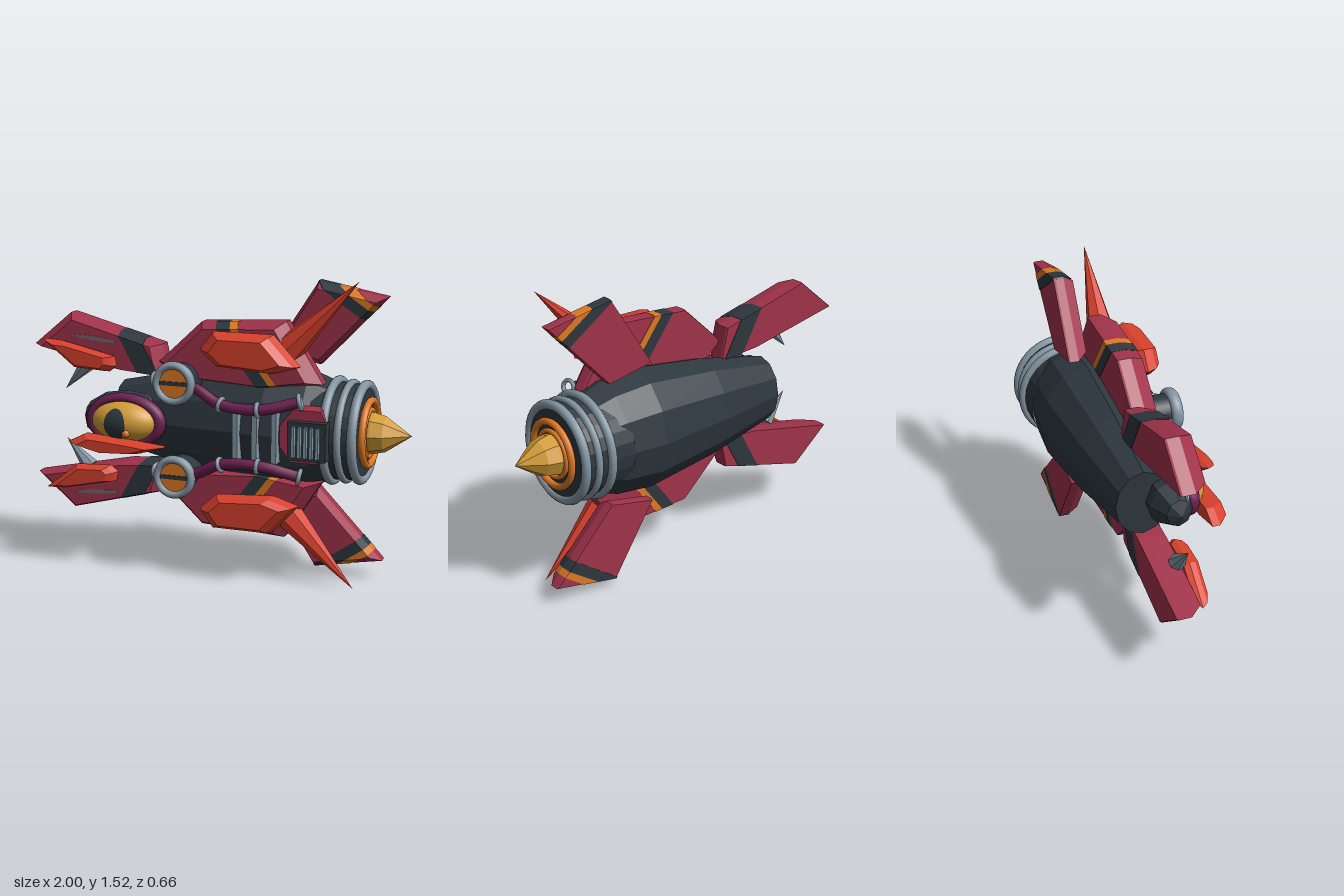
import * as THREE from 'three';
import { ConvexGeometry } from 'three/addons/geometries/ConvexGeometry.js';

const mat = (name, color) => {
  const m = new THREE.MeshStandardMaterial({ color });
  m.name = name;
  return m;
};
const M = {
  maroon: mat('maroon', 0xa0324a), red: mat('red', 0xd8402c), dark: mat('charcoal', 0x2d373e),
  steel: mat('steel', 0x8395a2), yellow: mat('yellow', 0xd39c37), orange: mat('orange', 0xdc7822),
  purple: mat('purple', 0x6b1f50), scratch: mat('scratch', 0x77686c),
};
const CY = 0.765, CZ = -0.06; // hull axis

const flat = (g) => {
  const f = g.index ? g.toNonIndexed() : g;
  f.computeVertexNormals();
  return f;
};
const scaled = (poly, k) => {
  const c = poly.reduce((a, p) => [a[0] + p[0] / poly.length, a[1] + p[1] / poly.length], [0, 0]);
  return poly.map(([x, y]) => [c[0] + (x - c[0]) * k, c[1] + (y - c[1]) * k]);
};
// Keeps the part of a convex polygon where f(p) >= 0
const clip = (poly, f) => {
  const out = [];
  poly.forEach((p, i) => {
    const q = poly[(i + 1) % poly.length], a = f(p), b = f(q);
    if (a >= 0) out.push(p);
    if (a * b < 0) out.push([p[0] + (q[0] - p[0]) * a / (a - b), p[1] + (q[1] - p[1]) * a / (a - b)]);
  });
  return out;
};
// Layers are [polygon, z]; s = -1 reflects the part below the hull axis
const hull = (layers, s) => new ConvexGeometry(layers.flatMap(([poly, z]) =>
  poly.map(([x, y]) => new THREE.Vector3(x, CY + s * (y - CY), z))));

export function createModel() {
  const root = new THREE.Group();
  root.name = 'rocketCraft';
  const add = (name, geo, material, x = 0, y = 0, z = 0) => {
    const m = new THREE.Mesh(geo, material);
    m.name = name;
    m.position.set(x, y, z);
    root.add(m);
    return m;
  };
  const box = (name, w, h, d, material, x, y, z) => add(name, new THREE.BoxGeometry(w, h, d), material, x, y, z);
  // Turned part along x: profile of [radius, x]
  const turned = (name, pts, sides, material, zScale = 1) => {
    const g = new THREE.LatheGeometry(pts.map(([r, x]) => new THREE.Vector2(r, x)), sides);
    g.rotateZ(-Math.PI / 2).scale(1, 1, zScale);
    return add(name, flat(g), material, 0, CY, CZ);
  };
  const hoop = (name, R, r, material, x) =>
    add(name, new THREE.TorusGeometry(R, r, 10, 40).rotateY(Math.PI / 2), material, x, CY, CZ);
  const cone = (name, from, to, r, sides, material) => {
    const a = new THREE.Vector3(...from), b = new THREE.Vector3(...to), d = b.clone().sub(a);
    const m = add(name, flat(new THREE.ConeGeometry(r, d.length(), sides)), material);
    m.position.copy(a).addScaledVector(d, 0.5);
    m.quaternion.setFromUnitVectors(new THREE.Vector3(0, 1, 0), d.normalize());
  };

  // Hull and nozzle
  turned('hull', [[0, -0.52], [0.175, -0.52], [0.26, -0.12], [0.315, 0.3], [0.295, 0.5], [0.25, 0.62], [0, 0.62]], 12, M.dark, 0.8);
  turned('nozzle', [[0.24, 0.48], [0.245, 0.62], [0.235, 0.77], [0, 0.78]], 24, M.dark);
  hoop('nozzleRing', 0.25, 0.022, M.steel, 0.62);
  hoop('nozzleRing', 0.24, 0.019, M.steel, 0.69);
  hoop('nozzleRing', 0.235, 0.024, M.steel, 0.76);
  hoop('glowRing', 0.16, 0.018, M.orange, 0.79);
  hoop('innerGlowRing', 0.115, 0.012, M.orange, 0.79);
  turned('tailCone', [[0.105, 0.77], [0.105, 0.81], [0.09, 0.87], [0, 1]], 8, M.yellow);

  // Eye
  const ex = -0.42, ey = 0.775, ez = 0.16, er = [0.18, 0.105, 0.11];
  const socket = new THREE.SphereGeometry(1, 8, 6).rotateZ(Math.PI / 2).scale(0.25, 0.15, 0.13);
  add('eyeSocket', flat(socket), M.dark, -0.44, CY, 0.07);
  add('eyeRim', new THREE.TorusGeometry(0.18, 0.036, 10, 40).scale(1, 0.66, 1.1), M.purple, ex, ey, 0.155);
  add('eyeball', new THREE.SphereGeometry(1, 32, 20).scale(...er), M.yellow, ex, ey, ez);
  const pupil = new THREE.RingGeometry(0, 1, 28, 5).scale(0.058, 0.08, 1).translate(-0.015, -0.002, 0);
  const pp = pupil.attributes.position;
  for (let i = 0; i < pp.count; i++) {
    const u = pp.getX(i) / er[0], v = pp.getY(i) / er[1];
    pp.setZ(i, er[2] * Math.sqrt(Math.max(0, 1 - u * u - v * v)) + 0.005);
  }
  pupil.computeVertexNormals();
  add('pupil', pupil, M.dark, ex, ey, ez);
  add('eyeGlint', new THREE.SphereGeometry(0.022, 14, 10), M.orange, -0.38, 0.732, 0.252);
  const brow = [[-0.69, 0.67], [-0.6, 0.715], [-0.32, 0.695], [-0.17, 0.68], [-0.3, 0.64], [-0.52, 0.63]];
  add('brow', hull([[brow, 0.23], [brow, 0.27], [scaled(brow, 0.72), 0.33]], 1), M.red);

  // Vent and ribs on the front of the hull
  const patch = [[0.4, 0.72], [0.4, 0.83], [0.47, 0.92], [0.62, 0.92], [0.64, 0.88], [0.64, 0.67], [0.6, 0.64], [0.46, 0.64]];
  add('ventPlate', hull([[patch, 0.12], [scaled(patch, 0.93), 0.2]], 1), M.maroon);
  box('vent', 0.19, 0.19, 0.08, M.dark, 0.555, CY, 0.2);
  for (let i = 0; i < 5; i++) box('ventSlat', 0.014, 0.15, 0.04, M.steel, 0.495 + i * 0.03, CY, 0.248);
  for (const x of [0.185, 0.285, 0.385]) box('rib', 0.026, 0.26, 0.07, M.steel, x, CY, 0.185);

  // Outlines of the upper fins and armour plates
  const frontFin = [[-1, 1.11], [-0.79, 1.285], [-0.28, 1.15], [-0.24, 0.98], [-0.48, 1.0]];
  const midFin = [[-0.28, 1.07], [-0.05, 1.285], [0.39, 1.31], [0.58, 1.01], [0.3, 0.97], [-0.2, 1.0]];
  const rearFin = [[0.27, 1.13], [0.505, 1.495], [0.855, 1.43], [0.52, 1.08]];
  const smallPlate = [[-0.9, 1.16], [-0.8, 1.155], [-0.5, 1.09], [-0.49, 1.04], [-0.53, 1.01], [-0.72, 1.02]];
  const midPlate = [[-0.02, 1.17], [0.05, 1.26], [0.36, 1.26], [0.5, 1.11], [0.37, 1.07], [0.07, 1.09]];

  for (const s of [1, -1]) {
    const Y = (y) => CY + s * (y - CY);
    const fin = (name, poly, z0, z1, bands) => {
      const zm = z0 + (z1 - z0) * 0.5;
      const layers = [[scaled(poly, 0.985), z0], [poly, z0 + 0.01], [poly, zm], [scaled(poly, 0.84), z1]];
      add(name, hull(layers, s), M.maroon);
      // Painted bands wrap round the fin: point, direction, offset range, material
      for (const [p, d, a, b, material] of bands) {
        const l = Math.hypot(...d);
        const off = (q) => ((q[0] - p[0]) * -d[1] + (q[1] - p[1]) * d[0]) / l;
        const cut = layers.map(([q, z], i) => [
          clip(clip(scaled(q, 1.008), (v) => off(v) - a), (v) => b - off(v)),
          z + [-0.003, -0.002, 0.002, 0.003][i]]);
        add(name + 'Stripe', hull(cut, s), material);
      }
    };
    fin('frontFin', frontFin, -0.07, 0.075, [[[-0.42, 1.18], [0.1, -0.18], -0.06, 0.04, M.dark]]);
    fin('midFin', midFin, -0.02, 0.12, [
      [[0.12, 1.27], [0.15, -0.2], -0.06, 0, M.dark], [[0.12, 1.27], [0.15, -0.2], 0, 0.035, M.orange]]);
    fin('rearFin', rearFin, -0.16, -0.055, [
      [[0.62, 1.47], [0.16, -0.11], -0.055, 0, M.dark], [[0.62, 1.47], [0.16, -0.11], 0, 0.035, M.orange]]);
    const worn = [[-0.76, 1.185], [-0.7, 1.165], [-0.52, 1.15], [-0.5, 1.165], [-0.62, 1.18]];
    add('wornPaint', hull([[worn, 0.072], [worn, 0.078]], s), M.scratch);

    const plate = (name, poly, z0, z1) => add(name, hull([
      [scaled(poly, 0.85), z0], [poly, z0 + (z1 - z0) * 0.35], [scaled(poly, 0.9), z0 + (z1 - z0) * 0.75],
      [scaled(poly, 0.7), z1]], s), M.red);
    plate('smallArmourPlate', smallPlate, 0.075, 0.155);
    plate('midArmourPlate', midPlate, 0.11, 0.238);

    // Spikes
    cone('redSpike', [0.4, Y(1.17), 0.06], [0.76, Y(1.525), 0.09], 0.078, 7, M.red);
    cone('steelSpike', [-0.67, Y(1.04), 0.06], [-0.8, Y(0.895), 0.06], 0.045, 7, M.steel);

    // Slotted knob
    const ky = Y(1.002);
    add('knobBase', new THREE.CylinderGeometry(0.085, 0.085, 0.16, 24).rotateX(Math.PI / 2), M.dark, -0.125, ky, 0.15);
    add('knobRing', new THREE.TorusGeometry(0.09, 0.02, 10, 32).scale(1, 1, 1.5), M.steel, -0.125, ky, 0.235);
    add('knobFace', new THREE.CylinderGeometry(0.077, 0.077, 0.02, 24).rotateX(Math.PI / 2), M.orange, -0.125, ky, 0.235);
    box('knobSlot', 0.15, 0.02, 0.016, M.dark, -0.125, ky, 0.242);

    // Hose with clamps
    const path = new THREE.CatmullRomCurve3([
      [-0.26, 1.0, 0.15], [-0.13, 1.0, 0.19], [-0.02, 0.98, 0.21], [0.12, 0.915, 0.235],
      [0.32, 0.905, 0.24], [0.51, 0.95, 0.2]].map(([x, y, z]) => new THREE.Vector3(x, Y(y), z)));
    add('hose', new THREE.TubeGeometry(path, 48, 0.028, 10), M.purple);
    for (const [t, r] of [[0.01, 0.034], [0.5, 0.03], [0.74, 0.03], [1, 0.034]]) {
      const c = add('hoseClamp', new THREE.TorusGeometry(r, 0.011, 8, 20), M.steel);
      c.position.copy(path.getPointAt(t));
      c.quaternion.setFromUnitVectors(new THREE.Vector3(0, 0, 1), path.getTangentAt(t));
    }
  }
  return root;
}
